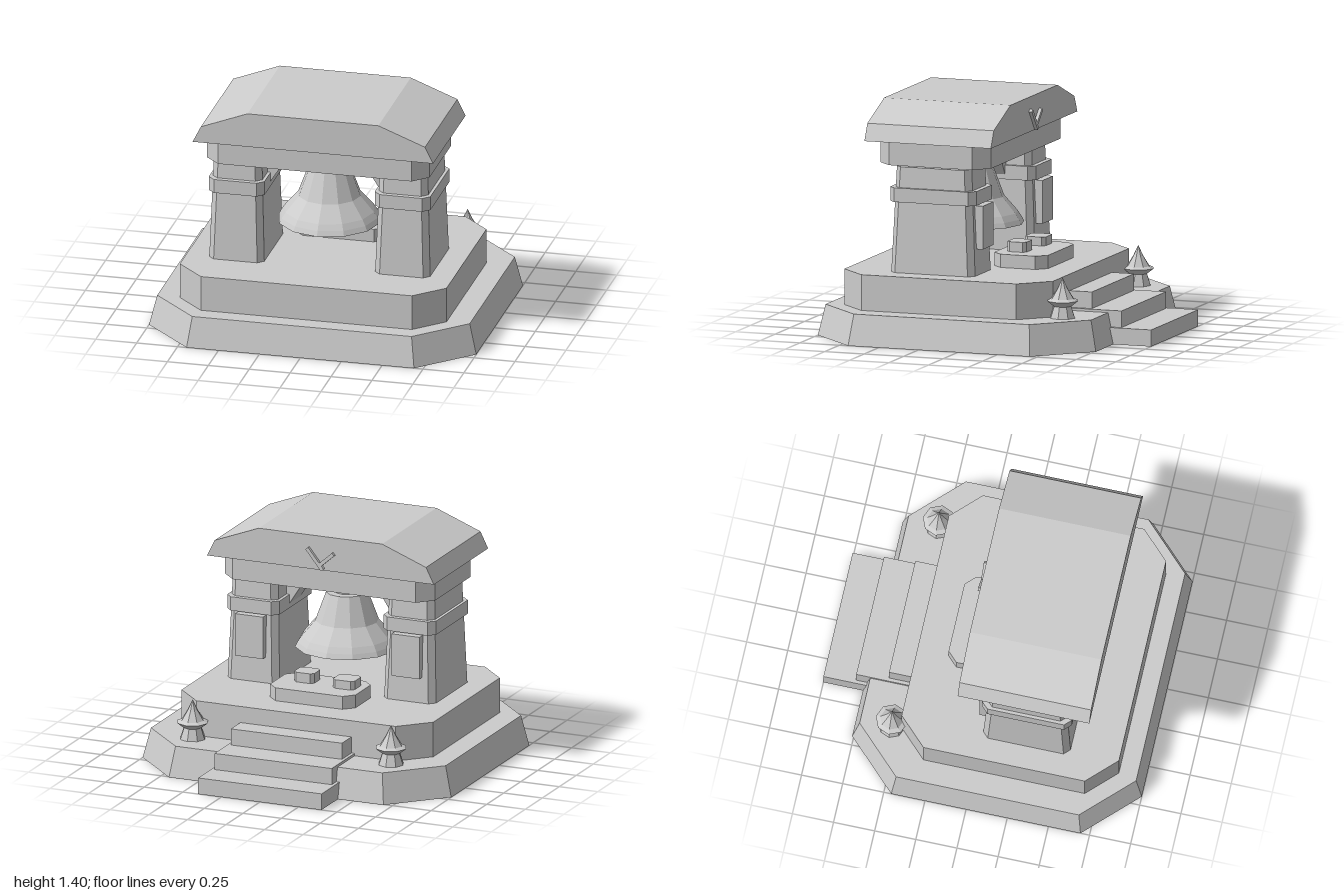
import * as THREE from 'three';

const stone = new THREE.MeshStandardMaterial({ color: 0xcccccc, side: THREE.DoubleSide, flatShading: true });
stone.name = 'grey stone';

// Rectangle with cut corners, counter-clockwise seen from above: s = [halfX, halfZ, cut]
function ring([hx, hz, c], y) {
  const pts = c > 0
    ? [[hx, hz - c], [hx, c - hz], [hx - c, -hz], [c - hx, -hz], [-hx, c - hz], [-hx, hz - c], [c - hx, hz], [hx - c, hz]]
    : [[hx, hz], [hx, -hz], [-hx, -hz], [-hx, hz]];
  return pts.map(([x, z]) => [x, y, z]);
}

// Tapered block between two rings, standing on its origin; the underside is optional
function block(bottom, top, height, closed = true) {
  const a = ring(bottom, 0), b = ring(top, height), n = a.length, v = [];
  for (let i = 0; i < n; i++) {
    const j = (i + 1) % n;
    v.push(...a[i], ...a[j], ...b[j], ...a[i], ...b[j], ...b[i]);
    if (i > 0 && i < n - 1) {
      v.push(...b[0], ...b[i], ...b[j]);
      if (closed) v.push(...a[0], ...a[j], ...a[i]);
    }
  }
  const g = new THREE.BufferGeometry();
  g.setAttribute('position', new THREE.Float32BufferAttribute(v, 3));
  g.computeVertexNormals();
  return g;
}

function lathe(profile, sides) {
  const g = new THREE.LatheGeometry(profile.map(([r, y]) => new THREE.Vector2(r, y)), sides).toNonIndexed();
  g.computeVertexNormals();
  return g;
}

function extrude(points, z0, z1) {
  const shape = new THREE.Shape(points.map(([x, y]) => new THREE.Vector2(x, y)));
  const g = new THREE.ExtrudeGeometry(shape, { depth: z1 - z0, bevelEnabled: false });
  return g.translate(0, 0, z0);
}

export function createModel() {
  const model = new THREE.Group();
  model.name = 'bellShrine';
  const add = (name, geometry, x = 0, y = 0, z = 0) => {
    const m = new THREE.Mesh(geometry, stone);
    m.name = name;
    m.position.set(x, y, z);
    model.add(m);
    return m;
  };

  // Two-tier platform, hollow underneath
  add('lowerPlatform', block([1, 0.88, 0.305], [0.955, 0.84, 0.285], 0.185, false), 0, 0, 0.12);
  add('upperPlatform', block([0.815, 0.66, 0.17], [0.815, 0.66, 0.17], 0.215, false), 0, 0.185, 0.19);

  // Steps at the back
  [[0.4, -1, 0.1], [0.38, -0.805, 0.2], [0.36, -0.61, 0.3]].forEach(([hx, back, top], i) => {
    const hz = (-0.45 - back) / 2;
    add('step' + (i + 1), block([hx, hz, 0], [hx, hz, 0], 0.1, false), 0, top - 0.1, back + hz);
  });

  // Bell, hanger and clapper
  const bellZ = 0.28;
  add('bell', lathe([[0.31, 0.615], [0.295, 0.645], [0.272, 0.68], [0.19, 0.775], [0.125, 0.95], [0, 0.95]], 12), 0, 0, bellZ);
  add('hanger', new THREE.CylinderGeometry(0.073, 0.073, 0.12, 12), 0, 1.0, bellZ);
  add('clapper', new THREE.CylinderGeometry(0.015, 0.047, 0.16, 8), 0, 0.62, bellZ);

  // Lintel and roof
  add('lintel', block([0.68, 0.35, 0.088], [0.68, 0.35, 0.088], 0.145), 0, 1.045, 0.293);
  add('roof', extrude([[-0.735, 1.19], [0.735, 1.19], [0.685, 1.29], [0.4, 1.4], [-0.4, 1.4], [-0.685, 1.29]], -0.11, 0.69));

  // Two crossing strips on the back of the roof
  const longStrip = add('longRoofStrip', new THREE.BoxGeometry(0.022, 0.16, 0.04), 0.03, 1.258, -0.11);
  longStrip.rotation.z = -0.68;
  const shortStrip = add('shortRoofStrip', new THREE.BoxGeometry(0.022, 0.12, 0.04), -0.045, 1.262, -0.11);
  shortStrip.rotation.z = 0.85;

  // Pillars, braces, panels and finials on both sides
  const finial = lathe([[0.08, 0.18], [0.055, 0.255], [0.097, 0.288], [0.07, 0.3], [0.032, 0.36], [0, 0.425]], 8);
  for (const s of [1, -1]) {
    const side = s > 0 ? 'left' : 'right';
    const x = s * 0.507;
    add(side + 'Pillar', block([0.168, 0.265, 0.035], [0.147, 0.237, 0.035], 0.635), x, 0.4, 0.29);
    add(side + 'PillarBand', block([0.17, 0.273, 0.04], [0.17, 0.273, 0.04], 0.085), x, 0.825, 0.29);
    add(side + 'PillarPanel', new THREE.BoxGeometry(0.18, 0.26, 0.08), x, 0.687, 0.032);
    const brace = [[-0.51, 1.045], [-0.43, 0.85], [-0.34, 0.85], [-0.225, 1.03], [-0.25, 1.06], [-0.5, 1.06]];
    add(side + 'Brace', extrude(brace.map(([px, py]) => [-s * px, py]), 0.2, 0.37));
    add(side + 'Finial', finial, s * 0.643, 0, -0.53);
  }

  // Low plinth with two small blocks
  add('plinth', block([0.277, 0.17, 0.06], [0.277, 0.17, 0.06], 0.08), 0, 0.4, -0.11);
  add('lowBlock', block([0.07, 0.065, 0.02], [0.07, 0.065, 0.02], 0.055), -0.16, 0.478, -0.08);
  add('highBlock', block([0.065, 0.06, 0.02], [0.065, 0.06, 0.02], 0.062), 0.107, 0.478, -0.06);

  return model;
}
